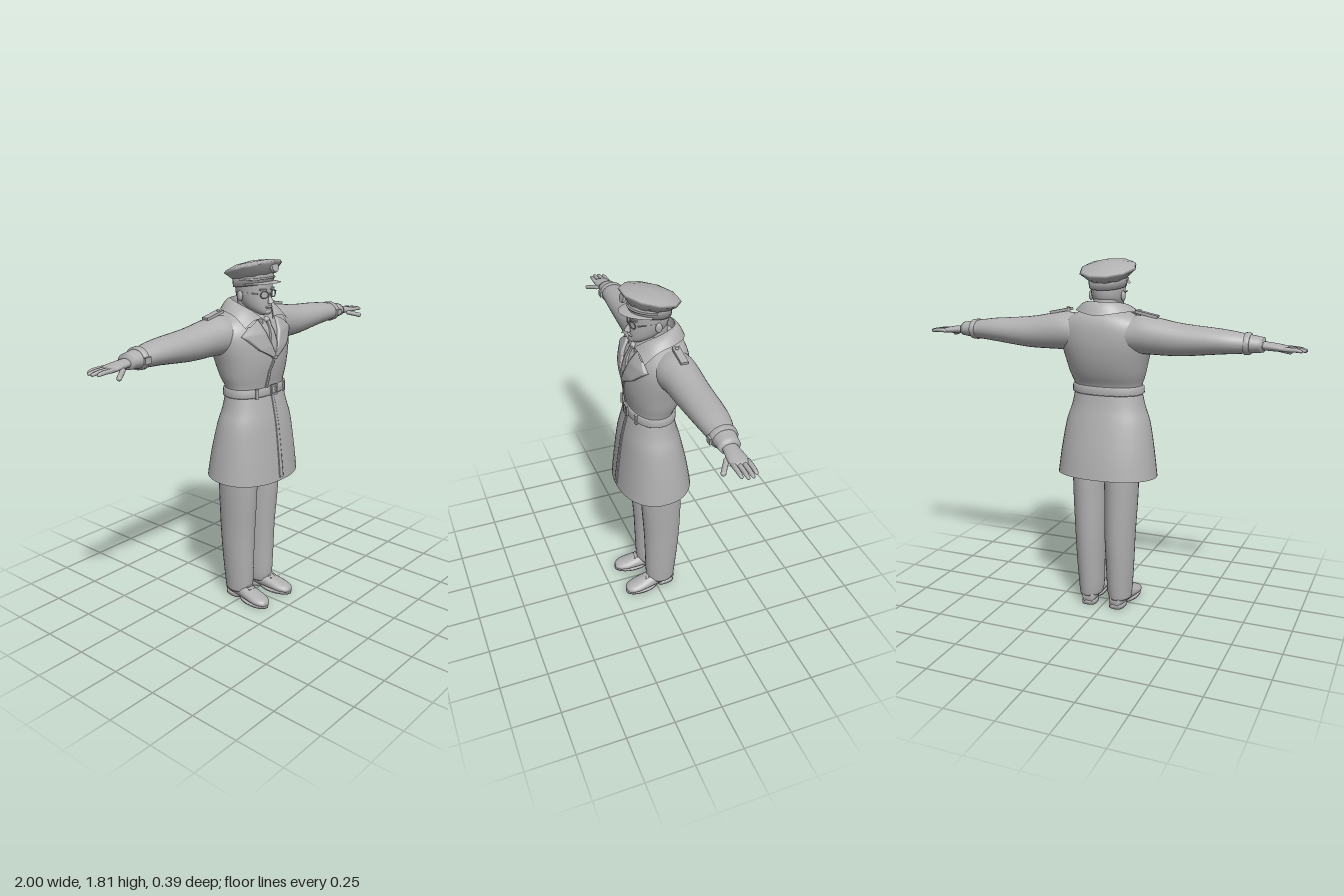
import * as THREE from 'three';
import { mergeVertices } from 'three/addons/utils/BufferGeometryUtils.js';

const grey = new THREE.MeshStandardMaterial({ color: 0xb0b0b0, side: THREE.DoubleSide });
grey.name = 'plain grey';

// Grid surface from f(u, v) -> [x, y, z]
function patch(f, nu, nv, wrap = false) {
  const pos = [], idx = [], cols = wrap ? nu : nu + 1;
  for (let j = 0; j <= nv; j++)
    for (let i = 0; i < cols; i++) pos.push(...f(i / nu, j / nv));
  for (let j = 0; j < nv; j++)
    for (let i = 0; i < nu; i++) {
      const a = j * cols + i, b = j * cols + (i + 1) % cols;
      idx.push(a, a + cols, b, b, a + cols, b + cols);
    }
  const g = new THREE.BufferGeometry();
  g.setAttribute('position', new THREE.Float32BufferAttribute(pos, 3));
  g.setIndex(idx);
  g.computeVertexNormals();
  return g;
}

// Rings along y; section = [y, cx, cz, rx, rz, tilt, roundness]
function loft(sections, { seg = 28, steps = 3, caps = true } = {}) {
  const full = sections.map(([y, cx, cz, rx, rz, tilt = 0, n = 2]) => [y, cx, cz, rx, rz, tilt, n]);
  const rows = (full.length - 1) * steps;
  const at = t => {
    const k = Math.min(Math.floor(t), full.length - 2), f = t - k;
    const [p, a, b, q] = [-1, 0, 1, 2].map(d => full[Math.max(0, Math.min(full.length - 1, k + d))]);
    return a.map((_, i) => {
      const m0 = (b[i] - p[i]) / 2, m1 = (q[i] - a[i]) / 2, f2 = f * f, f3 = f2 * f;
      return (2 * f3 - 3 * f2 + 1) * a[i] + (f3 - 2 * f2 + f) * m0 + (3 * f2 - 2 * f3) * b[i] + (f3 - f2) * m1;
    });
  };
  const pow = (c, n) => Math.sign(c) * Math.abs(c) ** (2 / n);
  return patch((u, v) => {
    let r = v * rows, shrink = 1;
    if (caps) {
      r = v * (rows + 2) - 1;
      if (r < -0.5 || r > rows + 0.5) shrink = 0.001;
      r = Math.max(0, Math.min(rows, r));
    }
    const [y, cx, cz, rx, rz, tilt, n] = at(r / steps), a = u * 2 * Math.PI;
    const z = cz + shrink * rz * pow(Math.sin(a), n);
    return [cx + shrink * rx * pow(Math.cos(a), n), y + tilt * z, z];
  }, seg, caps ? rows + 2 : rows, true);
}

function flip(geo) {
  const g = geo.index ? geo.clone() : mergeVertices(geo);
  g.scale(-1, 1, 1);
  const a = g.index.array;
  for (let i = 0; i < a.length; i += 3) [a[i], a[i + 1]] = [a[i + 1], a[i]];
  return g;
}

// Coat body profile: [y, half width, front z, back z]
const TORSO = [
  [1.13, .178, .118, -.105], [1.19, .178, .115, -.1], [1.25, .198, .125, -.13], [1.32, .215, .133, -.155],
  [1.4, .235, .13, -.17], [1.47, .24, .115, -.17], [1.52, .215, .088, -.16], [1.555, .15, .06, -.14], [1.58, .075, .03, -.1]];
const SKIRT = [[.72, .263, .19, -.195], [.85, .247, .175, -.175], [1, .222, .155, -.14], [1.08, .195, .138, -.118], [1.16, .178, .118, -.102]];

function front(table, x, y) {
  let k = 0;
  while (k < table.length - 2 && y > table[k + 1][0]) k++;
  const a = table[k], b = table[k + 1], f = (y - a[0]) / (b[0] - a[0]);
  const [, w, zf, zb] = a.map((v, i) => v + (b[i] - v) * f);
  return (zf + zb) / 2 + (zf - zb) / 2 * Math.max(0, 1 - (Math.abs(x) / w) ** 2.2) ** (1 / 2.2);
}

function along(points, t) {
  const s = t * (points.length - 1), k = Math.min(Math.floor(s), points.length - 2);
  return points[k].map((v, i) => v + (points[k + 1][i] - v) * (s - k));
}

// Cloth panel between two edges, laid over the coat with turned-down rims
function drape(table, inner, outer, lift) {
  return patch((u, v) => {
    const a = along(inner, v), b = along(outer, v);
    const s = Math.max(0, Math.min(1, (u - .1) / .8));
    const x = a[0] + (b[0] - a[0]) * s, y = a[1] + (b[1] - a[1]) * s;
    return [x, y, front(table, x, y) + (u === 0 || u === 1 ? -.004 : lift)];
  }, 10, 18);
}

const body = t => t.map(([y, w, f, b], i) => [y, 0, (f + b) / 2, w, (f - b) / 2, t === SKIRT && i === 0 ? -.06 : 0, 2.2]);

export function createModel() {
  const model = new THREE.Group();
  model.name = 'uniformedMan';
  const add = (name, geo, x = 0, y = 0, z = 0, rx = 0, ry = 0, rz = 0) => {
    const m = new THREE.Mesh(geo, grey);
    m.name = name;
    m.position.set(x, y, z);
    m.rotation.set(rx, ry, rz);
    model.add(m);
    return m;
  };
  const pair = (name, geo, x = 0, y = 0, z = 0, rx = 0, ry = 0, rz = 0) => {
    add('left' + name, geo, x, y, z, rx, ry, rz);
    add('right' + name, flip(geo), -x, y, z, rx, -ry, -rz);
  };
  const box = (w, h, d) => new THREE.BoxGeometry(w, h, d);
  const ball = (x, y, z) => new THREE.SphereGeometry(1, 16, 10).scale(x, y, z);

  // Coat
  add('coatBody', loft(body(TORSO), { seg: 40 }));
  add('coatSkirt', loft(body(SKIRT), { seg: 40, caps: false }));
  add('skirtOverlap', drape(SKIRT, [[-.005, 1.15], [-.015, .725]], [[.012, 1.15], [.012, .725]], .004));
  add('chestOverlap', drape(TORSO, [[0, 1.35], [-.035, 1.28], [-.045, 1.19]], [[.015, 1.35], [-.02, 1.28], [-.03, 1.19]], .005));
  pair('Lapel', drape(TORSO, [[.07, 1.535], [.045, 1.46], [.02, 1.4], [-.015, 1.34]],
    [[.13, 1.505], [.18, 1.465], [.105, 1.395], [-.005, 1.335]], .014));

  // Collar turned down around the neck
  const mirrorPts = p => [...p, ...p.slice(0, -1).reverse().map(([x, y, z]) => [-x, y, z])].map(q => new THREE.Vector3(...q));
  const rim = new THREE.CatmullRomCurve3(mirrorPts([[.04, 1.535, .095], [.075, 1.575, .055], [.09, 1.605, -.02], [.055, 1.618, -.1], [0, 1.618, -.12]]));
  const fall = new THREE.CatmullRomCurve3(mirrorPts([[.165, 1.505, .09], [.165, 1.555, .02], [.145, 1.57, -.07], [.085, 1.565, -.14], [0, 1.555, -.165]]));
  add('collar', patch((u, v) => {
    const p = rim.getPoint(u).lerp(fall.getPoint(u), v);
    return [p.x, p.y + .014 * Math.sin(v * Math.PI), p.z];
  }, 36, 6));
  add('collarStand', patch((u, v) => {
    const p = rim.getPoint(u);
    return [p.x * (1 - .08 * v), p.y - .07 * v, p.z];
  }, 36, 2));

  // Shirt and tie
  add('shirtCollar', loft([[1.525, 0, -.012, .075, .08, -.25], [1.565, 0, -.012, .066, .068, -.25]], { caps: false }));
  add('tie', drape(TORSO, [[-.014, 1.53], [-.009, 1.495], [-.024, 1.42], [-.01, 1.36]], [[.014, 1.53], [.009, 1.495], [.024, 1.42], [.01, 1.36]], .01));
  add('tieKnot', ball(.018, .02, .014), 0, 1.522, .085);

  // Belt with buckle and keepers
  add('belt', loft([[1.15, 0, .008, .183, .114, 0, 2.2], [1.156, 0, .008, .19, .121, 0, 2.2],
    [1.188, 0, .008, .188, .119, 0, 2.2], [1.194, 0, .008, .181, .112, 0, 2.2]], { seg: 40, steps: 1 }));
  const frame = new THREE.Shape([[-.024, -.027], [.024, -.027], [.024, .027], [-.024, .027]].map(p => new THREE.Vector2(...p)));
  frame.holes.push(new THREE.Path([[-.015, -.018], [-.015, .018], [.015, .018], [.015, -.018]].map(p => new THREE.Vector2(...p))));
  add('beltBuckle', new THREE.ExtrudeGeometry(frame, { depth: .01, bevelEnabled: false }), .005, 1.176, .125);
  pair('BeltKeeper', box(.016, .05, .012), .105, 1.172, .113, 0, .35);

  // Sleeves run out along x
  const outward = g => g.rotateZ(-Math.PI / 2);
  pair('Sleeve', outward(loft([[.1, -1.455, -.045, .085, .1], [.2, -1.462, -.05, .095, .1], [.28, -1.457, -.057, .09, .092],
    [.41, -1.447, -.06, .078, .085], [.6, -1.449, -.06, .06, .077], [.72, -1.445, -.053, .046, .058], [.8, -1.443, -.05, .035, .048]])));
  pair('CuffStrap', outward(loft([[.712, -1.445, -.053, .046, .058], [.714, -1.445, -.053, .053, .066],
    [.738, -1.445, -.053, .051, .063], [.74, -1.445, -.053, .043, .055]], { steps: 1 })));
  pair('CuffBuckle', box(.034, .03, .01), .727, 1.445, .013);
  pair('Epaulette', box(.115, .014, .036), .228, 1.562, -.06, 0, 0, -.2);
  pair('EpauletteButton', ball(.009, .006, .009), .19, 1.579, -.06);

  // Hands
  pair('Palm', outward(loft([[.78, -1.44, -.05, .02, .032], [.83, -1.437, -.048, .02, .038], [.88, -1.433, -.048, .017, .044], [.915, -1.43, -.05, .012, .042]])));
  [[.982, -.084], [.998, -.062], [1, -.039], [.985, -.016]].forEach(([tip, z], i) =>
    pair('Finger' + (i + 1), outward(loft([[.895, -1.431, z, .011, .012], [.95, -1.431, z, .01, .0105], [tip - .008, -1.427, z, .008, .008], [tip, -1.425, z, .004, .004]], { seg: 10, steps: 2 }))));
  const thumb = new THREE.CapsuleGeometry(.012, .07, 4, 10).rotateZ(-Math.PI / 2);
  pair('Thumb', thumb, .88, 1.414, .01, 0, -.6, -.25);

  // Trousers
  pair('TrouserLeg', loft([[.05, .083, -.03, .06, .076], [.1, .081, -.03, .066, .083], [.25, .083, -.034, .073, .092],
    [.4, .083, -.036, .079, .1], [.6, .087, -.03, .085, .109], [.75, .088, -.028, .087, .112], [.95, .088, -.02, .087, .11]]));

  // Shoes
  const forward = g => g.rotateX(Math.PI / 2);
  pair('Shoe', forward(loft([[-.103, 0, -.04, .03, .03], [-.06, 0, -.05, .043, .046], [0, 0, -.05, .045, .046],
    [.06, 0, -.04, .049, .036], [.12, 0, -.031, .05, .027], [.16, 0, -.026, .038, .02], [.178, 0, -.022, .018, .012]])), .085, 0, 0, 0, .1);
  pair('ShoeSole', loft([[0, 0, .085, .048, .096], [.014, 0, .085, .051, .099]], { steps: 1 }), .085, 0, 0, 0, .1);
  pair('ShoeHeel', loft([[0, 0, -.055, .04, .052, 0, 2.8], [.022, 0, -.055, .04, .05, 0, 2.8]], { steps: 1 }), .085, 0, 0, 0, .1);
  for (let i = 0; i < 3; i++) pair('ShoeLace' + (i + 1), box(.045, .006, .008), .09, .087 - i * .007, .035 + i * .016, .5, .1);

  // Head and face
  add('neck', loft([[1.48, 0, -.03, .066, .068], [1.56, 0, -.022, .062, .064], [1.63, 0, -.022, .066, .062]]));
  add('head', loft([[1.55, 0, .062, .026, .03], [1.562, 0, .052, .042, .05], [1.585, 0, .03, .062, .073], [1.615, 0, .012, .075, .09],
    [1.65, 0, .004, .083, .094], [1.7, 0, .004, .086, .094], [1.73, 0, .004, .08, .09]]));
  add('nose', new THREE.ConeGeometry(.017, .052, 8), 0, 1.632, .107, -.25);
  add('mouth', ball(.026, .006, .01), 0, 1.588, .1);
  add('chin', ball(.024, .015, .014), 0, 1.565, .092);
  pair('Ear', ball(.01, .026, .017), .086, 1.64, -.012);
  pair('Eyebrow', box(.038, .008, .012), .033, 1.673, .09, 0, .3, .1);
  pair('EyeglassRim', new THREE.TorusGeometry(.023, .003, 6, 20).scale(1, .75, 1), .034, 1.65, .1, 0, .28);
  pair('EyeglassTemple', box(.004, .005, .105), .079, 1.657, .035, 0, -.17);
  add('eyeglassBridge', box(.024, .005, .005), 0, 1.653, .106);

  // Peaked cap
  add('capBand', loft([[1.686, 0, 0, .093, .103, .15], [1.74, 0, 0, .096, .108, .2]], { steps: 1 }));
  add('capCrown', loft([[1.727, 0, 0, .097, .11, .2], [1.768, 0, 0, .144, .147, .26], [1.778, 0, 0, .137, .14, .26],
    [1.795, 0, 0, .085, .09, .22], [1.803, 0, 0, .01, .01, .2]], { seg: 10, steps: 1 }));
  add('capVisor', patch((u, v) => {
    const a = (.06 + .88 * u) * Math.PI, s = Math.sin(a);
    return [(.093 + .012 * v) * Math.cos(a), 1.712 - .004 * v - .012 * (1 - s), (.1 + .052 * v) * s];
  }, 24, 3));
  add('capStrap', new THREE.TorusGeometry(.1, .005, 6, 24, Math.PI).rotateX(Math.PI / 2).scale(.98, 1, 1.07), 0, 1.718, 0, -.1);
  add('capBadge', new THREE.CylinderGeometry(.024, .027, .012, 16), 0, 1.782, .133, Math.PI / 2 - .3);
  return model;
}
